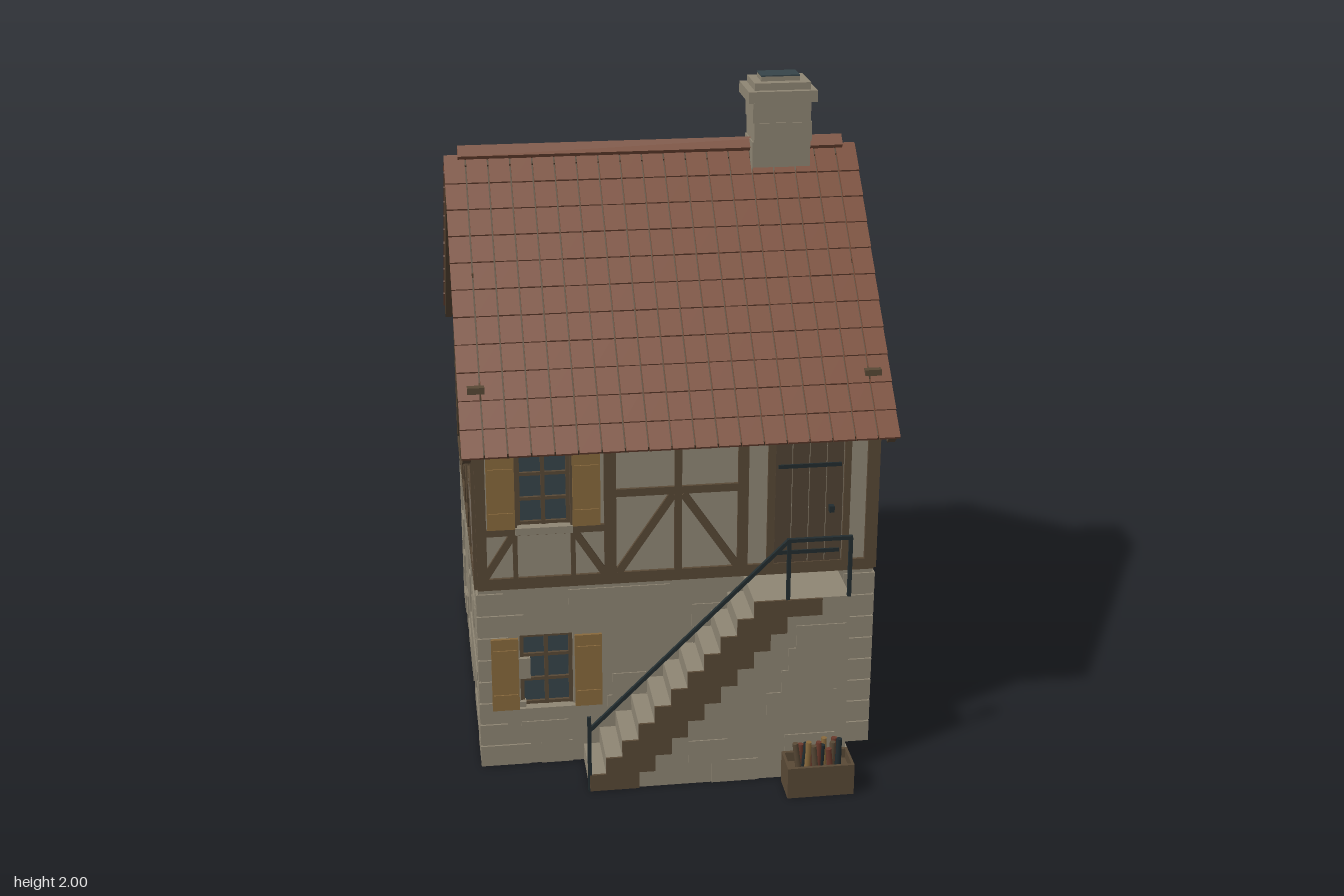
import * as THREE from 'three';
import { mergeGeometries } from 'three/addons/utils/BufferGeometryUtils.js';

const mat = (name, color, side = THREE.FrontSide) => {
  const m = new THREE.MeshStandardMaterial({ color, side });
  m.name = name;
  return m;
};

export function createModel() {
  const stone = mat('stone', 0x8f8674), plaster = mat('plaster', 0x918977), timber = mat('timber', 0x594936);
  const tileRed = mat('roofTile', 0x7c4f3b), shutterMat = mat('shutterWood', 0x896a3d), glass = mat('glass', 0x37454a);
  const iron = mat('iron', 0x222c2f), doorMat = mat('doorWood', 0x524434), redMat = mat('redClay', 0x6b3a2c);
  const house = new THREE.Group();
  house.name = 'house';

  let seed = 7;
  const rand = () => (seed = (seed * 16807) % 2147483647) / 2147483647;

  const add = (parent, name, geo, material) => {
    const m = new THREE.Mesh(geo, material);
    m.name = name;
    parent.add(m);
    return m;
  };
  // Box given by its minimum and maximum corners
  const block = (x0, x1, y0, y1, z0, z1) =>
    new THREE.BoxGeometry(x1 - x0, y1 - y0, z1 - z0).translate((x0 + x1) / 2, (y0 + y1) / 2, (z0 + z1) / 2);
  const group = (parent, name) => {
    const g = new THREE.Group();
    g.name = name;
    parent.add(g);
    return g;
  };
  // Timber beam between two points of a wall, passing through its thickness
  const beam = (x1, y1, x2, y2, w) =>
    new THREE.BoxGeometry(Math.hypot(x2 - x1, y2 - y1), w, 0.05)
      .rotateZ(Math.atan2(y2 - y1, x2 - x1)).translate((x1 + x2) / 2, (y1 + y2) / 2, -0.015);
  // Wall slab whose outer face lies on z = 0
  const slab = (points, holes, depth, back = 0) => {
    const s = new THREE.Shape(points.map(p => new THREE.Vector2(...p)));
    for (const [cx, y0, y1] of holes) {
      s.holes.push(new THREE.Path([[cx - 0.08, y0], [cx - 0.08, y1], [cx + 0.08, y1], [cx + 0.08, y0]]
        .map(p => new THREE.Vector2(...p))));
    }
    return new THREE.ExtrudeGeometry(s, { depth, bevelEnabled: false }).translate(0, 0, -depth - back);
  };
  const rect = (w, y0, y1) => [[-w, y0], [w, y0], [w, y1], [-w, y1]];

  // Slightly raised stones scattered over a rectangle in courses
  const rubble = (x0, x1, y0, y1, z, course, chance, blocked = () => false) => {
    const list = [];
    const rows = Math.round((y1 - y0) / course), h = (y1 - y0) / rows;
    for (let r = 0; r < rows; r++) {
      for (let x = x0; x < x1 - 0.04;) {
        const e = Math.min(x1, x + 0.06 + rand() * 0.12), y = y0 + r * h;
        if (rand() < chance && !blocked(x, e, y, y + h)) list.push(block(x, e, y, y + h, z - 0.01, z + 0.004));
        x = e;
      }
    }
    return mergeGeometries(list);
  };

  const makeWindow = (wall, cx, y0, y1) => {
    const g = group(wall, 'window');
    add(g, 'pane', block(cx - 0.08, cx + 0.08, y0, y1, -0.024, -0.018), glass);
    const bars = [-0.074, 0, 0.074].map(o => block(cx + o - 0.006, cx + o + 0.006, y0, y1, -0.03, -0.008));
    for (const t of [0.025, 0.36, 0.7, 0.975]) {
      const y = y0 + t * (y1 - y0);
      bars.push(block(cx - 0.08, cx + 0.08, y - 0.005, y + 0.005, -0.029, -0.009));
    }
    add(g, 'windowBars', mergeGeometries(bars), timber);
    add(g, 'windowSill', block(cx - 0.085, cx + 0.085, y0 - 0.022, y0, -0.03, 0.018), stone);
    for (const s of [-1, 1]) {
      const c = cx + s * 0.126;
      add(g, 'shutter', block(c - 0.041, c + 0.041, y0, y1, 0.012, 0.022), shutterMat);
      for (const y of [y0 + 0.04, y1 - 0.05])
        add(g, 'shutterBatten', block(c - 0.036, c + 0.036, y, y + 0.014, 0.02, 0.026), shutterMat);
    }
  };

  // Timber patterns, written as [x1, y1, x2, y2, width]
  const mirror = list => list.flatMap(b => [b, [-b[0], b[1], -b[2], b[3], b[4]]]);
  const outer = [[-0.6, 0.618, 0.6, 0.618, 0.036], ...mirror([[0.585, 0.6, 0.585, 1.14, 0.03]])];
  const sidePanels = mirror([[0.195, 0.62, 0.195, 1.16, 0.036], [0.355, 0.62, 0.355, 1.16, 0.024],
    [0.2, 0.893, 0.59, 0.893, 0.024], [0.375, 0.88, 0.565, 0.635, 0.024], [0.335, 0.88, 0.21, 0.635, 0.024]]);
  const windowFrame = cx => [[-0.195 + cx, 1.043, 0.195 + cx, 1.043, 0.026], [-0.195 + cx, 0.785, 0.195 + cx, 0.785, 0.022],
    ...mirror([[0.086, 0.63, 0.086, 1.04, 0.014], [0.092, 0.775, 0.18, 0.635, 0.022]])
      .map(b => [b[0] + cx, b[1], b[2] + cx, b[3], b[4]])];
  const plate = [[-0.58, 1.11, 0.58, 1.11, 0.04]];
  const gableBeams = [[-0.575, 1.193, 0.575, 1.193, 0.074], [-0.29, 1.473, 0.29, 1.473, 0.024],
    [0, 1.47, 0, 1.72, 0.024], [-0.05, 1.2, -0.05, 1.47, 0.02],
    ...mirror([[0.2, 1.2, 0.2, 1.47, 0.02], [0.395, 1.2, 0.395, 1.35, 0.02], [0.125, 1.62, 0.01, 1.48, 0.022],
      [0.58, 1.135, 0.005, 1.71, 0.026]])];
  const frontBeams = [...outer, ...plate, [-0.203, 0.62, -0.203, 1.11, 0.036], [0, 0.62, 0, 1.11, 0.022],
    [0.195, 0.62, 0.195, 1.11, 0.032], [-0.2, 0.893, 0.2, 0.893, 0.024], [0.28, 0.62, 0.28, 1.11, 0.022],
    [0.51, 0.62, 0.51, 1.11, 0.02], [0.28, 1.065, 0.51, 1.065, 0.022],
    ...mirror([[0.015, 0.88, 0.18, 0.635, 0.024]]), ...windowFrame(-0.4).filter(b => Math.min(b[0], b[2]) > -0.6)];
  const blindBeams = [[0, 0.62, 0, 1.16, 0.024],
    ...mirror([[0.015, 1.15, 0.175, 0.64, 0.024], [0.02, 0.64, 0.175, 1.15, 0.024]])];

  const walls = [
    { name: 'frontWall', pos: [0, 0, 0.5], turn: 0, win: -0.4, beams: frontBeams },
    { name: 'backWall', pos: [0, 0, -0.7], turn: Math.PI, win: 0, beams: [...outer, ...plate, ...sidePanels, ...windowFrame(0)] },
    { name: 'leftWall', pos: [0.6, 0, -0.1], turn: Math.PI / 2, win: 0, gable: true,
      beams: [...outer, ...sidePanels, ...windowFrame(0), ...gableBeams] },
    { name: 'rightWall', pos: [-0.6, 0, -0.1], turn: -Math.PI / 2, win: null, gable: true,
      beams: [...outer, ...sidePanels, ...blindBeams, ...gableBeams] },
  ];
  for (const w of walls) {
    const g = group(house, w.name);
    g.position.set(...w.pos);
    g.rotation.y = w.turn;
    const low = w.win === null ? [] : [[w.win, 0.2, 0.44]], high = w.win === null ? [] : [[w.win, 0.8, 1.03]];
    add(g, 'stoneBase', slab(rect(0.6, 0, 0.6), low, 0.055), stone);
    add(g, 'baseLining', slab(rect(0.545, 0, 0.6), low, 0.006, 0.054), timber);
    const outline = w.gable ? [...rect(0.6, 0.6, 1.13).slice(0, 3), [0, 1.73], [-0.6, 1.13]] : rect(0.6, 0.6, 1.13);
    add(g, 'plasterInfill', slab(outline, high, 0.03), plaster);
    add(g, 'timberFrame', mergeGeometries(w.beams.map(b => beam(...b))), timber);
    for (const h of [...low, ...high]) makeWindow(g, ...h);
    // Raised stones keep clear of the window
    add(g, 'wallStones', rubble(-0.48, 0.48, 0, 0.585, 0, 0.073, 0.35, (a, b, c, d) =>
      w.win !== null && b > w.win - 0.18 && a < w.win + 0.18 && d > 0.17 && c < 0.45), stone);
    const quoins = [];
    for (let i = 0; i < 8; i++) for (const s of [-1, 1]) {
      const len = (i % 2 ? 0.07 : 0.13) + rand() * 0.03, a = s * 0.606, b = s * (0.6 - len);
      quoins.push(block(Math.min(a, b), Math.max(a, b), i * 0.0735 + 0.002, i * 0.0735 + 0.07, -0.03, 0.006));
    }
    add(g, 'cornerStones', mergeGeometries(quoins), stone);
  }

  // Door with planks, ledges and handle
  const door = group(house, 'door');
  for (let i = 0; i < 4; i++)
    add(door, 'doorPlank', block(0.292 + i * 0.052, 0.341 + i * 0.052, 0.605, 1.055, 0.495, 0.506), doorMat);
  for (const y of [0.67, 0.95]) add(door, 'doorLedge', block(0.3, 0.49, y - 0.006, y + 0.006, 0.505, 0.511), iron);
  add(door, 'doorHandle', block(0.455, 0.47, 0.8, 0.82, 0.505, 0.525), iron);

  // Roof slopes of overlapping tiles on boards
  const cols = 19, rows = 11, pitch = 0.99 / rows, tw = 1.28 / cols;
  for (const [name, turn] of [['frontRoof', 0], ['backRoof', Math.PI]]) {
    const side = group(house, name);
    side.position.set(0, 1.762, -0.1);
    side.rotation.y = turn;
    const slope = group(side, 'slope');
    slope.rotation.x = Math.PI / 4;
    add(slope, 'roofBoards', block(-0.63, 0.63, -0.03, 0.001, -0.01, 0.98), timber);
    const tiles = [];
    for (let r = 0; r < rows; r++) for (let c = 0; c < cols; c++) {
      tiles.push(new THREE.BoxGeometry(tw - 0.005, 0.01, pitch + 0.012).rotateX(-0.07)
        .translate(-0.64 + (c + 0.5) * tw, 0.009 + rand() * 0.002, (r + 0.5) * pitch));
    }
    add(slope, 'roofTiles', mergeGeometries(tiles), tileRed);
    for (const s of [-1, 1])
      add(slope, 'bargeBoard', block(s * 0.622 - 0.012, s * 0.622 + 0.012, -0.042, 0.002, 0, 0.985), timber);
  }
  add(house, 'ridgeCap', new THREE.BoxGeometry(1.19, 0.04, 0.04).rotateX(Math.PI / 4).translate(0, 1.776, -0.1), tileRed);

  // Chimney
  const chimney = group(house, 'chimney');
  add(chimney, 'stack', block(0.308, 0.484, 1.6, 1.93, -0.17, -0.034), stone);
  for (const [z, turn] of [[0.068, 0], [0.068, Math.PI], [0.088, Math.PI / 2], [0.088, -Math.PI / 2]]) {
    const w = turn % Math.PI === 0 ? 0.088 : 0.068;
    add(chimney, 'stackStones', rubble(-w, w, 1.62, 1.92, z, 0.06, 0.45).rotateY(turn).translate(0.396, 0, -0.102), stone);
  }
  add(chimney, 'cap', block(0.287, 0.5, 1.925, 1.96, -0.19, -0.016), stone);
  add(chimney, 'collar', block(0.308, 0.482, 1.96, 1.982, -0.17, -0.036), stone);
  add(chimney, 'rim', block(0.333, 0.453, 1.98, 1.996, -0.142, -0.066), stone);
  add(chimney, 'flue', block(0.333, 0.453, 1.996, 2.0, -0.142, -0.066), glass);

  // Outside stairs: stone steps with a timber stringer on the front
  const stairs = group(house, 'stairs');
  const n = 11, run = 0.54 / n, rise = 0.6 / n, top = [], under = [];
  for (let i = 0; i < n; i++) {
    const x = -0.29 + i * run, y = (i + 1) * rise;
    add(stairs, 'step', block(x, i === n - 1 ? 0.49 : x + run, 0, y, 0.5, 0.682), stone);
    top.push([x, y - rise], [x, y]);
    under.push([x + 0.1, Math.max(0, y - rise)], [x + 0.1 + run, Math.max(0, y - rise)]);
  }
  const stringer = new THREE.Shape([...top, [0.405, 0.6], [0.405, 0.6 - rise], ...under.reverse().slice(1)]
    .map(p => new THREE.Vector2(...p)));
  add(stairs, 'stringer', new THREE.ExtrudeGeometry(stringer, { depth: 0.007, bevelEnabled: false }).translate(0, 0, 0.682), timber);
  add(stairs, 'stairStones', rubble(-0.16, 0.48, 0, 0.585, 0.682, 0.073, 0.6,
    (a, b, c, d) => d > a + 0.24), stone);
  add(stairs, 'footStones', block(0.49, 0.52, 0, 0.03, 0.5, 0.635), stone);
  add(stairs, 'footStone', block(0.49, 0.51, 0.03, 0.06, 0.5, 0.59), stone);

  // Iron railing
  const rail = group(house, 'railing');
  const bar = (x1, y1, x2, y2) => add(rail, 'railBar', new THREE.BoxGeometry(Math.hypot(x2 - x1, y2 - y1), 0.011, 0.011)
    .rotateZ(Math.atan2(y2 - y1, x2 - x1)).translate((x1 + x2) / 2, (y1 + y2) / 2, 0.682), iron);
  bar(-0.29, 0, -0.29, 0.25);
  bar(-0.29, 0.205, 0.3, 0.79);
  bar(0.295, 0.79, 0.49, 0.79);
  bar(0.302, 0.6, 0.302, 0.79);
  bar(0.485, 0.6, 0.485, 0.79);

  // Crate of upright logs
  const crate = group(house, 'crate');
  add(crate, 'crateFloor', block(0.295, 0.485, 0, 0.07, 0.71, 0.8), timber);
  for (const z of [0.705, 0.8]) add(crate, 'crateSide', block(0.29, 0.492, 0, 0.1, z - 0.004, z + 0.006), timber);
  for (const x of [0.29, 0.484]) add(crate, 'crateEnd', block(x, x + 0.008, 0, 0.1, 0.705, 0.8), timber);
  const woods = [timber, redMat, iron, shutterMat, redMat];
  for (let i = 0; i < 13; i++) {
    add(crate, 'log', new THREE.CylinderGeometry(0.009, 0.01, 0.1, 7).rotateZ((rand() - 0.5) * 0.3)
      .translate(0.328 + i * 0.0105, 0.09 + rand() * 0.024, 0.73 + rand() * 0.05), woods[i % 5]);
  }
  return house;
}
